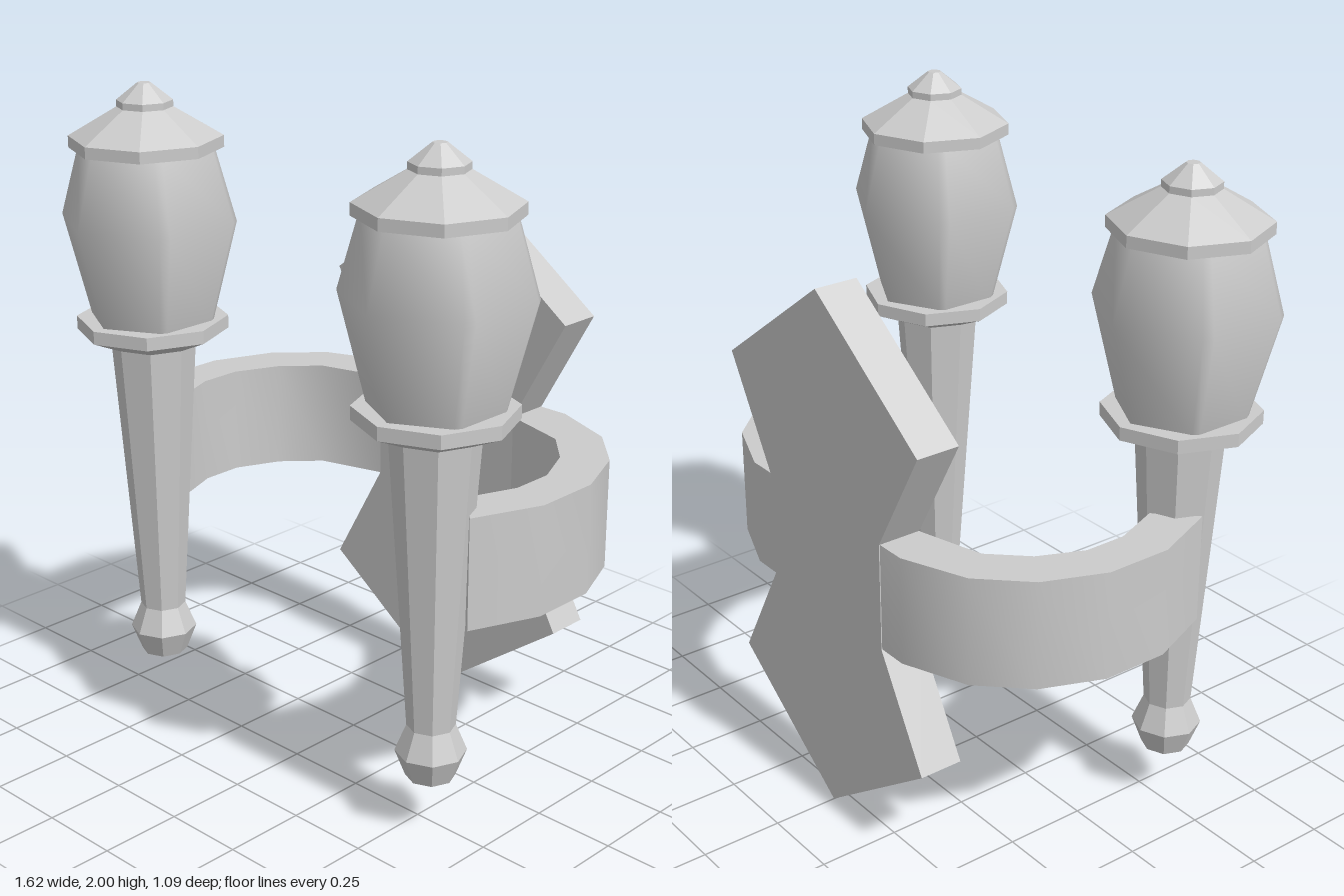
import * as THREE from 'three';
import { toCreasedNormals } from 'three/addons/utils/BufferGeometryUtils.js';

const smoothMat = new THREE.MeshStandardMaterial({ color: 0xcccccc });
const flatMat = new THREE.MeshStandardMaterial({ color: 0xcccccc, flatShading: true });
const vectors = (list) => list.map(([x, y]) => new THREE.Vector2(x, y));

function named(name, geometry, material) {
  const mesh = new THREE.Mesh(geometry, material);
  mesh.name = name;
  return mesh;
}

// Eight-sided turned part from a bottom-to-top [radius, y] profile
const turned = (name, profile) => named(name, new THREE.LatheGeometry(vectors(profile), 8), flatMat);

// Globe: a lathe whose rings are reshaped to a hexagon with blunted side corners
function globe() {
  const profile = [[0, 1.28], [0.186, 1.28], [0.267, 1.6], [0.205, 1.82], [0, 1.82]];
  const half = [[0, 1], [0.83, 0.56], [0.888, 0.46], [0.888, -0.46], [0.83, -0.56]];
  const outline = [...half, ...half.map(([x, z]) => [-x, -z])];
  const geo = new THREE.LatheGeometry(vectors(profile), outline.length);
  const pos = geo.attributes.position;
  for (let i = 0; i < pos.count; i++) {
    const r = profile[i % profile.length][0];
    const [x, z] = outline[Math.floor(i / profile.length) % outline.length];
    pos.setXYZ(i, x * r, pos.getY(i), z * r);
  }
  return named('globe', toCreasedNormals(geo, 1.1), smoothMat);
}

function torch(side) {
  const g = new THREE.Group();
  g.name = side > 0 ? 'leftTorch' : 'rightTorch';
  g.add(
    turned('handle', [[0, 0.18], [0.072, 0.18], [0.103, 0.26], [0.07, 0.34], [0.128, 1.215], [0, 1.215]]),
    turned('collar', [[0, 1.21], [0.128, 1.21], [0.228, 1.255], [0.228, 1.295], [0, 1.295]]),
    globe(),
    turned('lid', [[0, 1.81], [0.228, 1.81], [0.228, 1.845], [0.083, 1.93], [0, 1.93]]),
    turned('finial', [[0, 1.925], [0.083, 1.925], [0.083, 1.95], [0.02, 2], [0, 2]])
  );
  g.position.set(side * 0.573, 0, 0.28);
  return g;
}

// Curved arm band, drawn in plan as [x, z] and extruded upward
function bracket() {
  const outer = [[0.69, 0.27], [0.775, 0.06], [0.775, -0.145], [0.7, -0.33], [0.57, -0.465], [0.37, -0.544]];
  const inner = [[0.28, -0.411], [0.483, -0.355], [0.583, -0.25], [0.643, -0.115], [0.643, 0.015], [0.585, 0.165]];
  const mirror = (list) => list.map(([x, z]) => [-x, z]).reverse();
  const plan = [...outer, ...mirror(outer), ...mirror(inner), ...inner];
  const shape = new THREE.Shape(vectors(plan.map(([x, z]) => [x, -z])));
  const geo = new THREE.ExtrudeGeometry(shape, { depth: 0.333, bevelEnabled: false });
  geo.rotateX(-Math.PI / 2).translate(0, 0.667, 0);
  return named('bracket', toCreasedNormals(geo, 0.6), smoothMat);
}

// Wall plate with pointed ends and a narrow waist
function backPlate() {
  const right = [[0, 0.003], [0.46, 0.335], [0.275, 0.667], [0.275, 1], [0.46, 1.33], [0, 1.663]];
  const left = right.slice(1, -1).map(([x, y]) => [-x, y]).reverse();
  const shape = new THREE.Shape(vectors([...right, ...left]));
  const geo = new THREE.ExtrudeGeometry(shape, { depth: 0.136, bevelEnabled: false });
  geo.translate(0, 0, -0.547);
  return named('backPlate', geo, flatMat);
}

export function createModel() {
  const model = new THREE.Group();
  model.name = 'wallSconce';
  model.add(backPlate(), bracket(), torch(1), torch(-1));
  return model;
}
